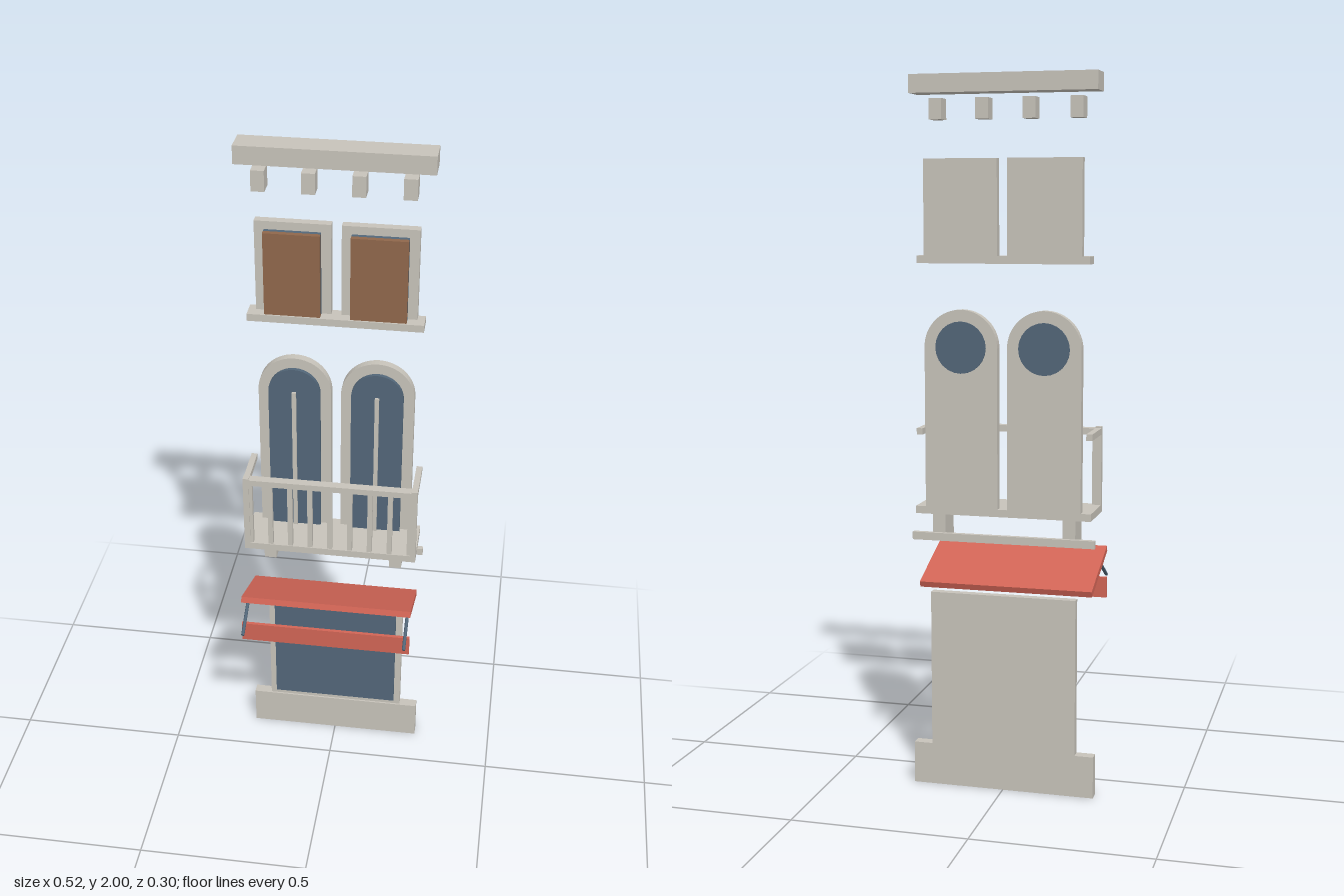
import * as THREE from 'three';

export function createModel() {
  const model = new THREE.Group();
  model.name = 'townhouseFacade';

  const mat = (name, color) => {
    const m = new THREE.MeshStandardMaterial({ color });
    m.name = name;
    return m;
  };
  const stone = mat('stone', 0xc6c2b9);
  const glass = mat('blue glass', 0x526678);
  const wood = mat('shutter wood', 0x8f674b);
  const fabric = mat('awning red', 0xd06455);

  const add = (name, geometry, material, parent = model) => {
    const mesh = new THREE.Mesh(geometry, material);
    mesh.name = name;
    parent.add(mesh);
    return mesh;
  };
  // Box given by its limits on each axis
  const box = (name, material, [x0, x1], [y0, y1], [z0, z1], parent) => {
    const mesh = add(name, new THREE.BoxGeometry(x1 - x0, y1 - y0, z1 - z0), material, parent);
    mesh.position.set((x0 + x1) / 2, (y0 + y1) / 2, (z0 + z1) / 2);
    return mesh;
  };
  const wide = (w) => [-w, w];
  const group = (name) => {
    const g = new THREE.Group();
    g.name = name;
    model.add(g);
    return g;
  };
  // Round-topped panel standing on y0, springing at y1
  const arch = (name, material, x, r, y0, y1, z0, z1, parent) => {
    const s = new THREE.Shape();
    s.moveTo(-r, y0);
    s.lineTo(r, y0);
    s.lineTo(r, y1);
    s.absarc(0, y1, r, 0, Math.PI, false);
    s.lineTo(-r, y0);
    const geo = new THREE.ExtrudeGeometry(s, { depth: z1 - z0, bevelEnabled: false, curveSegments: 16 });
    const mesh = add(name, geo, material, parent);
    mesh.position.set(x, 0, z0);
    return mesh;
  };
  const back = -0.147;

  // Ground floor: plinth, shop frame and window
  const shop = group('shopFront');
  box('plinth', stone, wide(0.262), [0, 0.12], [back, -0.117], shop);
  box('shopFrame', stone, wide(0.209), [0.12, 0.567], [back, -0.122], shop);
  box('shopWindow', glass, wide(0.19), [0.14, 0.547], [-0.122, -0.111], shop);

  // Awning: tilted canopy, hanging valance and two arms
  const awning = group('awning');
  const canopy = add('canopy', new THREE.BoxGeometry(0.5, 0.018, 0.232), fabric, awning);
  canopy.position.set(0, 0.623, -0.013);
  canopy.rotation.x = -0.375;
  box('valance', fabric, wide(0.25), [0.52, 0.58], [0.09, 0.1], awning);
  for (const side of [-1, 1]) {
    const arm = add('awningArm', new THREE.CylinderGeometry(0.005, 0.005, 0.122, 8), glass, awning);
    arm.position.set(side * 0.238, 0.606, 0.096);
    arm.rotation.x = Math.PI / 2 + 0.52;
  }

  // String course and balcony
  box('stringCourse', stone, wide(0.262), [0.716, 0.738], [back, -0.132]);
  const balcony = group('balcony');
  box('balconySlab', stone, wide(0.251), [0.792, 0.813], [back, 0.009], balcony);
  box('frontRail', stone, wide(0.251), [1.014, 1.032], [-0.017, 0.009], balcony);
  for (const side of [-1, 1]) {
    const around = (c, h) => [side * c - h, side * c + h];
    box('balconyBracket', stone, around(0.187, 0.018), [0.719, 0.792], [-0.135, -0.054], balcony);
    box('sideRail', stone, around(0.2425, 0.0085), [1.014, 1.032], [-0.135, -0.017], balcony);
    box('cornerPost', stone, around(0.2425, 0.0085), [0.813, 1.036], [-0.008, 0.009], balcony);
  }
  for (let i = -4; i <= 4; i++) {
    const x = i * 0.058;
    box('baluster', stone, [x - 0.007, x + 0.007], [0.813, 1.014], [-0.008, 0.006], balcony);
  }

  for (const side of [-1, 1]) {
    // Arched balcony doors, with a round pane showing at the back
    const x = side * 0.118;
    const door = group('archedDoor');
    arch('doorFrame', stone, x, 0.104, 0.813, 1.262, back, -0.122, door);
    arch('doorGlass', glass, x, 0.074, 0.813, 1.262, -0.122, -0.11, door);
    box('doorMullion', stone, [x - 0.006, x + 0.006], [0.813, 1.265], [-0.11, -0.102], door);
    const pane = add('backPane', new THREE.CylinderGeometry(0.072, 0.072, 0.004, 24), glass, door);
    pane.rotation.x = Math.PI / 2;
    pane.position.set(x, 1.262, -0.148);

    // Shuttered upper windows
    const win = group('shutteredWindow');
    box('windowFrame', stone, [x - 0.104, x + 0.104], [1.512, 1.775], [back, -0.122], win);
    box('windowPane', glass, [x - 0.077, x + 0.077], [1.512, 1.752], [-0.122, -0.11], win);
    box('shutter', wood, [x - 0.077, x + 0.077], [1.512, 1.752], [-0.11, -0.095], win);
  }
  box('windowSill', stone, wide(0.243), [1.492, 1.513], [back, -0.09]);

  // Cornice with four blocks beneath
  const cornice = group('cornice');
  box('corniceBeam', stone, wide(0.262), [1.95, 2], [back, -0.07], cornice);
  for (const x of [-0.198, -0.066, 0.066, 0.198])
    box('corniceBlock', stone, [x - 0.018, x + 0.018], [1.881, 1.938], [-0.112, -0.065], cornice);

  return model;
}
